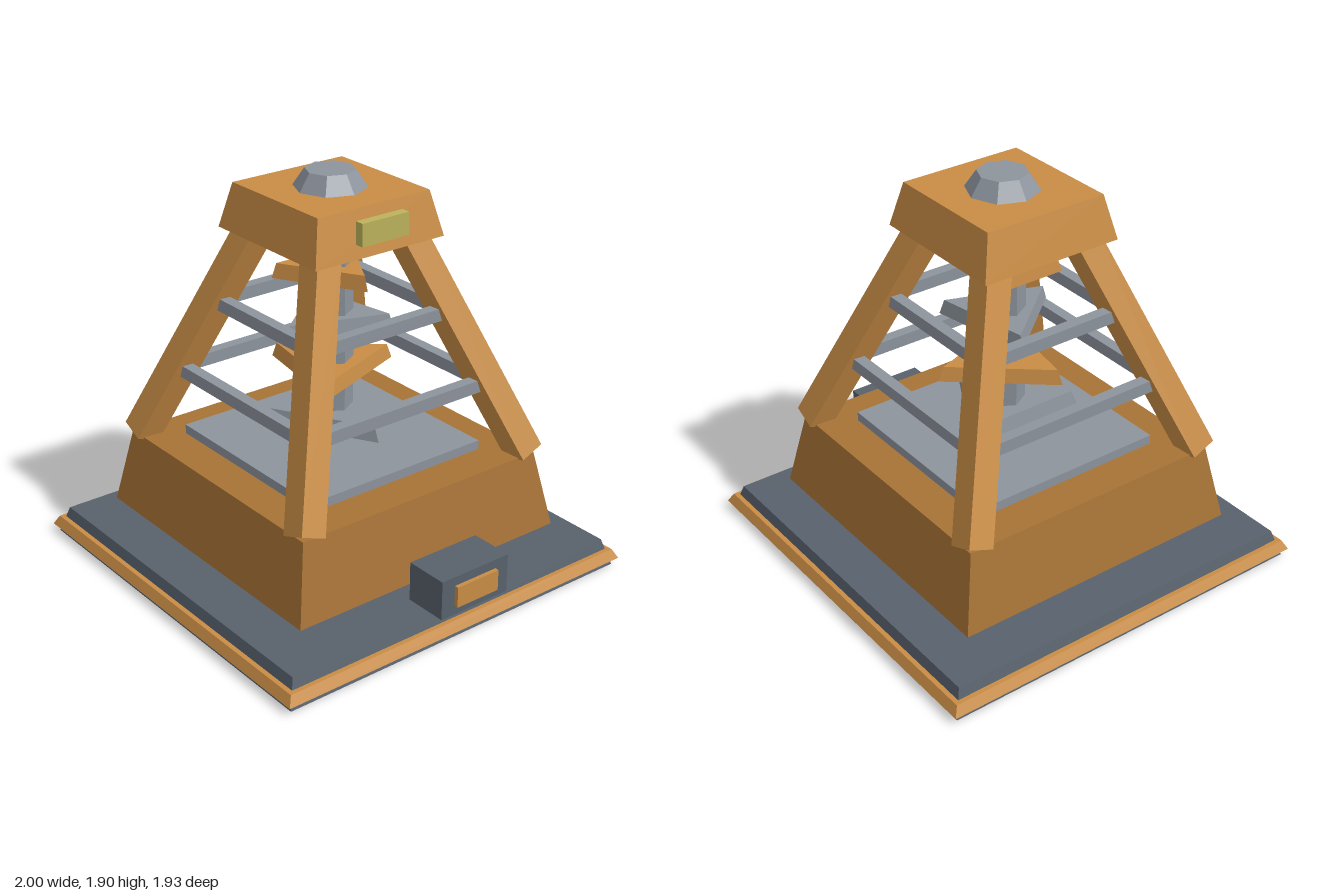
import * as THREE from 'three';

const flat = (name, color) => {
  const m = new THREE.MeshStandardMaterial({ color });
  m.name = name;
  m.flatShading = true;
  return m;
};

export function createModel() {
  const copper = flat('copper', 0xc98d45);
  const darkCopper = flat('darkCopper', 0xa77336);
  const slate = flat('slate', 0x58616c);
  const steel = flat('steel', 0x8d949d);
  const brass = flat('brass', 0xbdb25c);

  const model = new THREE.Group();
  model.name = 'coilTower';
  const tower = new THREE.Group();
  tower.name = 'tower';
  tower.position.x = -0.0325;
  model.add(tower);

  const add = (name, geometry, material, x = 0, y = 0, z = 0) => {
    const mesh = new THREE.Mesh(geometry, material);
    mesh.name = name;
    mesh.position.set(x, y, z);
    tower.add(mesh);
    return mesh;
  };

  // Tapered prism with n sides, from y0 to y1, turned about its axis
  const prism = (name, material, n, rBottom, rTop, y0, y1, turn = 0) =>
    add(name, new THREE.CylinderGeometry(rTop, rBottom, y1 - y0, n).rotateY(turn),
      material, 0, (y0 + y1) / 2, 0);

  // Square tapered block given by half widths
  const block = (name, material, hBottom, hTop, y0, y1) =>
    prism(name, material, 4, hBottom * Math.SQRT2, hTop * Math.SQRT2, y0, y1, Math.PI / 4);

  const box = (name, material, w, h, d, x, y, z) =>
    add(name, new THREE.BoxGeometry(w, h, d), material, x, y, z);

  // Stepped base, floating body and floor plate
  block('base', slate, 0.945, 0.905, 0, 0.13);
  block('baseTrim', copper, 0.967, 0.943, 0.035, 0.08);
  block('body', darkCopper, 0.737, 0.667, 0.2, 0.57);
  box('floorPlate', steel, 0.974, 0.045, 0.974, 0, 0.5925, 0);

  // Cap and finial
  block('cap', copper, 0.355, 0.307, 1.61, 1.82);
  prism('finial', steel, 8, 0.168, 0.115, 1.82, 1.9);

  // Central column with twisting triangular plates
  prism('column', steel, 6, 0.105, 0.105, 0.61, 1.62, Math.PI / 6);
  for (let i = 0; i < 4; i++) {
    const r = 0.35 - 0.0285 * i;
    const y = 0.7 + 0.234 * i;
    const turn = THREE.MathUtils.degToRad(90 - 40 * i);
    prism('coilPlate', i % 2 ? copper : steel, 3, r, r * 0.92, y, y + 0.07, turn);
  }

  // Leaning corner posts
  const up = new THREE.Vector3(0, 1, 0);
  for (const sx of [-1, 1]) {
    for (const sz of [-1, 1]) {
      const foot = new THREE.Vector3(0.635 * sx, 0.57, 0.635 * sz);
      const head = new THREE.Vector3(0.223 * sx, 1.65, 0.223 * sz);
      const dir = head.clone().sub(foot);
      const mid = foot.clone().add(head).multiplyScalar(0.5);
      const post = box('cornerPost', copper, 0.127, dir.length(), 0.127, mid.x, mid.y, mid.z);
      post.quaternion.setFromUnitVectors(up, dir.normalize());
    }
  }

  // Two rings of rails between the posts
  for (const [y, r] of [[0.92, 0.502], [1.26, 0.373]]) {
    for (const s of [-1, 1]) {
      box('railAcross', steel, 2 * r, 0.06, 0.055, 0, y, s * r);
      box('railAlong', steel, 0.055, 0.06, 2 * r, s * r, y, 0);
    }
  }

  // Name plate on the cap and control box beside the body
  box('capPlate', brass, 0.045, 0.105, 0.255, 0.36, 1.725, 0);
  box('controlBox', slate, 0.21, 0.187, 0.38, 0.9075, 0.268, 0);
  box('controlPanel', copper, 0.02, 0.1, 0.235, 1.0225, 0.268, 0);

  return model;
}
